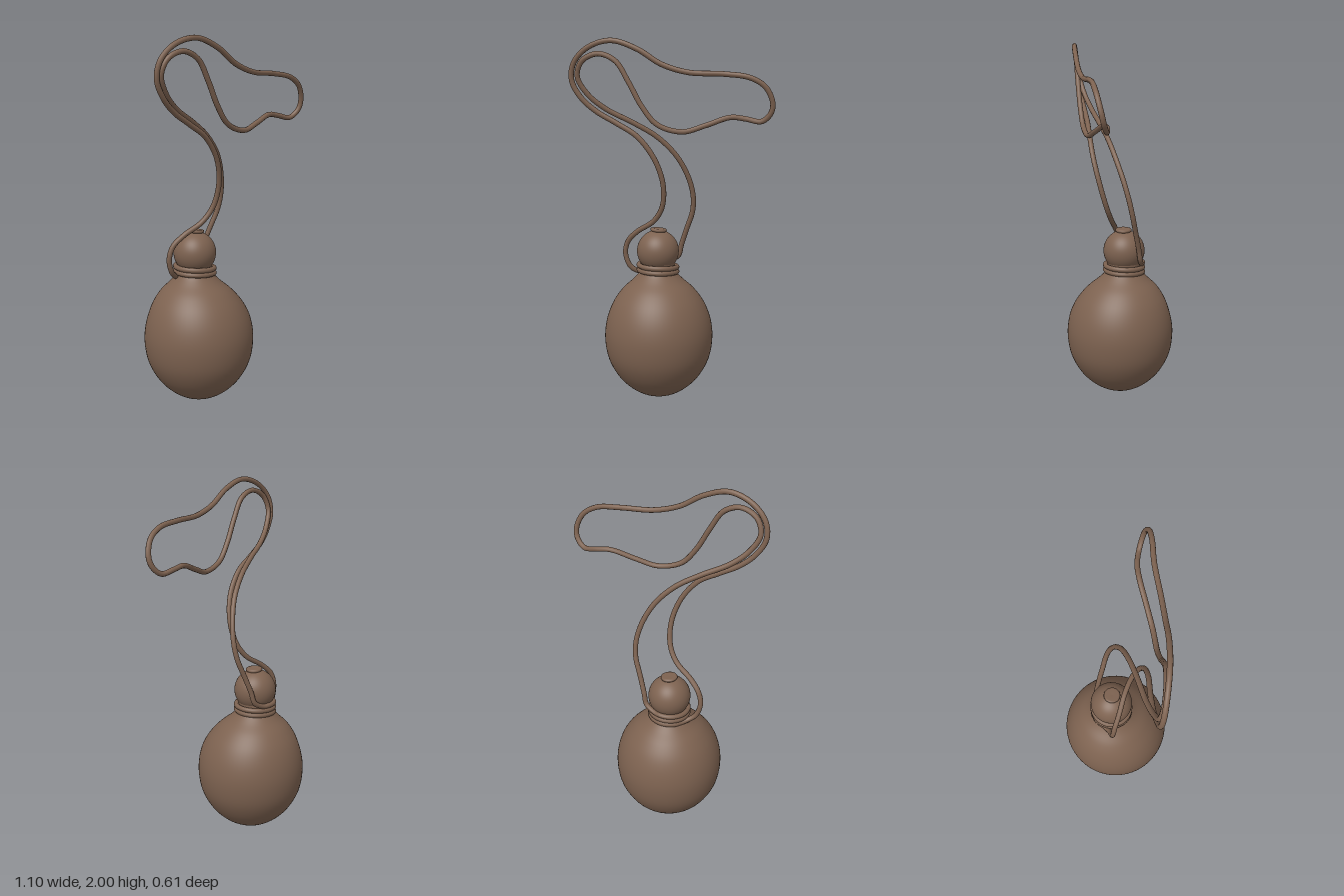
import * as THREE from 'three';

const V2 = (x, y) => new THREE.Vector2(x, y);

export function createModel() {
  const group = new THREE.Group();
  const brown = new THREE.MeshStandardMaterial({ color: 0x7d6250 });
  brown.name = 'gourd brown';

  const add = (name, geometry, x = 0, y = 0, z = 0) => {
    const mesh = new THREE.Mesh(geometry, brown);
    mesh.name = name;
    mesh.position.set(x, y, z);
    group.add(mesh);
    return mesh;
  };

  // Axis of the body, and of the slightly offset neck and upper bulb
  const body = { x: -0.108, z: 0 };
  const neck = { x: -0.117, z: -0.024 };

  // Lower bulb with a shallow dimple underneath, leaning into the neck
  const outline = new THREE.SplineCurve([
    V2(0.0001, 0.012), V2(0.05, 0.006), V2(0.09, 0.003), V2(0.165, 0.045), V2(0.235, 0.115),
    V2(0.288, 0.215), V2(0.307, 0.33), V2(0.296, 0.435), V2(0.26, 0.53),
    V2(0.205, 0.606), V2(0.142, 0.662), V2(0.107, 0.7), V2(0.096, 0.73), V2(0.096, 0.765),
  ]);
  const bulb = new THREE.LatheGeometry(outline.getPoints(60), 64);
  const p = bulb.attributes.position;
  for (let i = 0; i < p.count; i++) {
    const t = THREE.MathUtils.smoothstep(p.getY(i), 0.45, 0.72);
    p.setX(i, p.getX(i) + t * (neck.x - body.x));
    p.setZ(i, p.getZ(i) + t * (neck.z - body.z));
  }
  add('lowerBulb', bulb, body.x, 0, body.z);

  // Upper bulb
  add('upperBulb', new THREE.SphereGeometry(0.119, 48, 32), neck.x, 0.825, neck.z);

  // Stopper, flaring towards a softly rounded rim
  const stopper = new THREE.LatheGeometry([
    V2(0.03, -0.02), V2(0.032, 0.002), V2(0.044, 0.007), V2(0.047, 0.013),
    V2(0.045, 0.02), V2(0.036, 0.023), V2(0.0001, 0.021),
  ], 32);
  add('stopper', stopper, -0.113, 0.932, -0.02).rotation.z = -0.08;

  // One closed cord: wound round the neck, then up into a long hanging loop
  const points = [];
  const start = 205, end = 1015, steps = 36;
  for (let i = 0; i <= steps; i++) {
    const t = i / steps;
    const a = THREE.MathUtils.degToRad(start + t * (end - start));
    const r = 0.108;
    points.push(new THREE.Vector3(neck.x + r * Math.cos(a), 0.695 + 0.06 * t, neck.z + r * Math.sin(a)));
  }
  const strand = [
    // rising strand and inner bend
    [-0.015, 0.785, -0.11], [0.005, 0.85, -0.1], [0.04, 0.95, -0.08], [0.076, 1.05, -0.06],
    [0.083, 1.14, -0.04], [0.06, 1.25, -0.01], [0.0, 1.37, 0.03], [-0.1, 1.475, 0.07],
    [-0.22, 1.55, 0.11], [-0.37, 1.63, 0.155], [-0.46, 1.71, 0.19], [-0.505, 1.8, 0.215],
    [-0.475, 1.88, 0.23], [-0.385, 1.918, 0.237], [-0.29, 1.88, 0.236], [-0.22, 1.77, 0.23],
    [-0.15, 1.64, 0.22], [-0.07, 1.545, 0.207], [0.06, 1.507, 0.185], [0.18, 1.54, 0.15],
    // far end of the loop
    [0.31, 1.583, 0.11], [0.39, 1.575, 0.098], [0.475, 1.562, 0.105],
    [0.525, 1.605, 0.12], [0.535, 1.66, 0.133], [0.5, 1.74, 0.152], [0.42, 1.79, 0.166],
    [0.28, 1.81, 0.178], [0.1, 1.818, 0.212], [-0.04, 1.86, 0.232], [-0.17, 1.94, 0.245],
    // outer bend and falling strand
    [-0.31, 1.985, 0.248], [-0.44, 1.95, 0.24], [-0.52, 1.87, 0.23], [-0.535, 1.78, 0.22],
    [-0.49, 1.69, 0.208], [-0.41, 1.615, 0.19], [-0.3, 1.55, 0.176], [-0.19, 1.48, 0.168],
    [-0.1, 1.36, 0.15], [-0.058, 1.22, 0.117], [-0.07, 1.09, 0.08], [-0.125, 1.005, 0.05],
    [-0.225, 0.94, 0.022], [-0.285, 0.88, 0.0], [-0.303, 0.81, -0.01], [-0.28, 0.735, -0.02],
    [-0.245, 0.705, -0.038],
  ];
  strand.forEach((q) => points.push(new THREE.Vector3(...q)));
  const path = new THREE.CatmullRomCurve3(points, true);
  add('cord', new THREE.TubeGeometry(path, 500, 0.0145, 10, true));

  return group;
}
